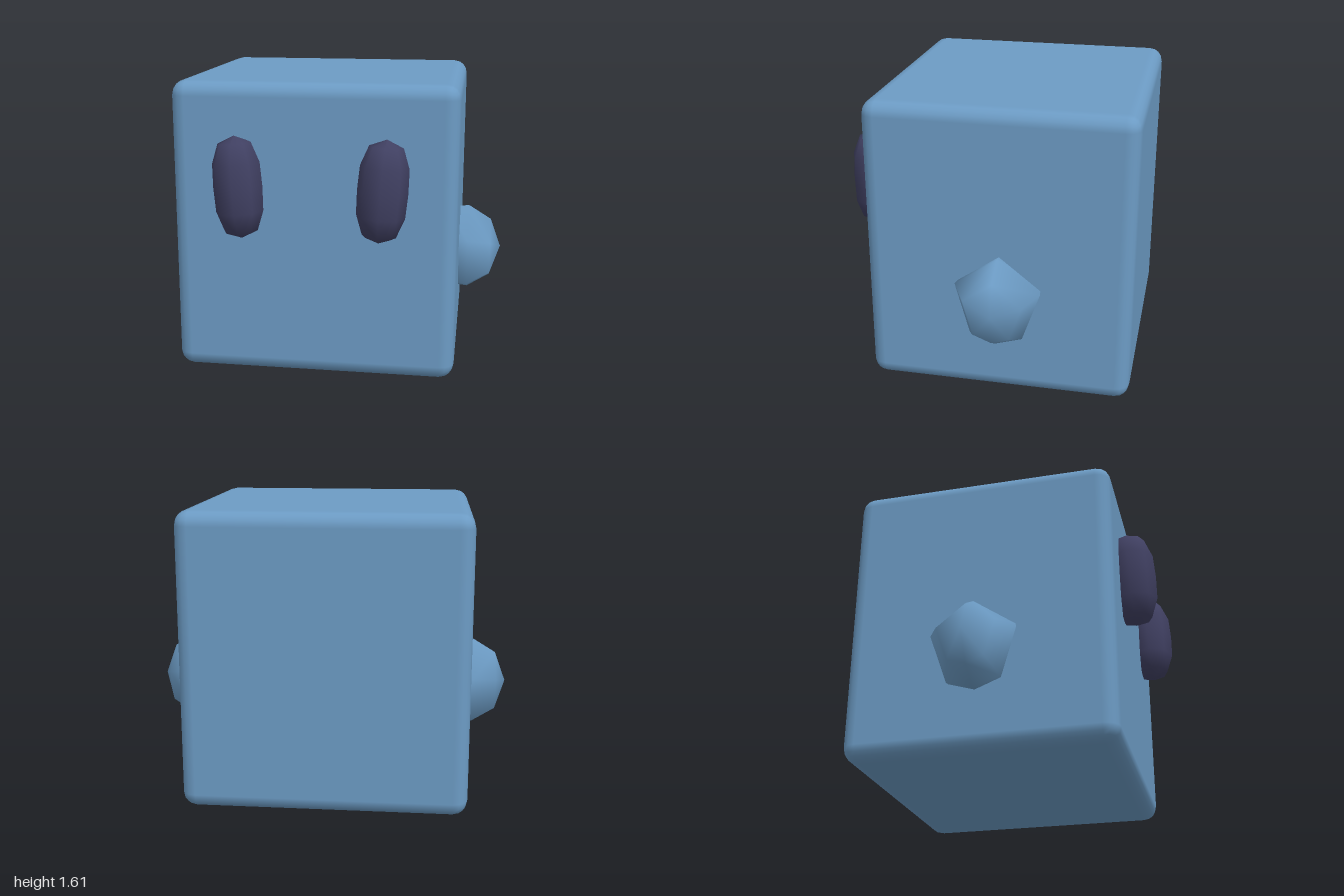
import * as THREE from 'three';
import { RoundedBoxGeometry } from 'three/addons/geometries/RoundedBoxGeometry.js';

const blue = new THREE.MeshStandardMaterial({ name: 'softBlue', color: 0x6c9bc4 });
const dark = new THREE.MeshStandardMaterial({ name: 'darkIndigo', color: 0x404062 });

// Faceted knob: one outline swept outward along x, closed by a tip
function knobGeometry(side) {
  const outline = [[0, 0.25], [0.23, 0.09], [0.15, -0.195], [0.01, -0.25], [-0.135, -0.205], [-0.23, 0.068]]; // z, y
  const rings = [[0.68, 0.93], [0.81, 1], [0.94, 0.68]]; // x, scale
  const n = outline.length;
  const pos = [], index = [];
  for (const [x, s] of rings) {
    for (const [z, y] of outline) pos.push(side * x, 0.565 + y * s, -0.11 + z * s);
  }
  pos.push(side, 0.57, -0.115);
  const tip = rings.length * n;
  const tri = (a, b, c) => (side > 0 ? index.push(a, b, c) : index.push(a, c, b));
  for (let j = 0; j < n; j++) {
    const k = (j + 1) % n;
    for (let i = 0; i < rings.length - 1; i++) {
      const lo = i * n, hi = lo + n;
      tri(lo + j, lo + k, hi + k);
      tri(lo + j, hi + k, hi + j);
    }
    tri(tip - n + j, tip - n + k, tip);
  }
  const g = new THREE.BufferGeometry();
  g.setAttribute('position', new THREE.Float32BufferAttribute(pos, 3));
  g.setIndex(index);
  g.computeVertexNormals();
  return g;
}

export function createModel() {
  const model = new THREE.Group();
  model.name = 'cubeCharacter';
  const add = (name, geometry, material) => {
    const mesh = new THREE.Mesh(geometry, material);
    mesh.name = name;
    model.add(mesh);
    return mesh;
  };

  // Body block with small rounded edges
  add('body', new RoundedBoxGeometry(1.54, 1.61, 1.45, 2, 0.08), blue).position.set(-0.01, 0.805, -0.095);

  // Tall eyes, tops leaning outward
  const profile = [[0, -0.275], [0.09, -0.237], [0.129, -0.13], [0.134, 0], [0.129, 0.13], [0.09, 0.237], [0, 0.275]]
    .map(([r, y]) => new THREE.Vector2(r, y));
  const eyeGeometry = new THREE.LatheGeometry(profile, 8);

  for (const side of [-1, 1]) {
    const label = side > 0 ? 'left' : 'right';
    const eye = add(label + 'Eye', eyeGeometry, dark);
    eye.position.set(-0.015 + side * 0.385, 1.06, 0.682);
    eye.rotation.set(-0.04, 0, -side * 0.07);
    add(label + 'Arm', knobGeometry(side), blue);
  }
  return model;
}
